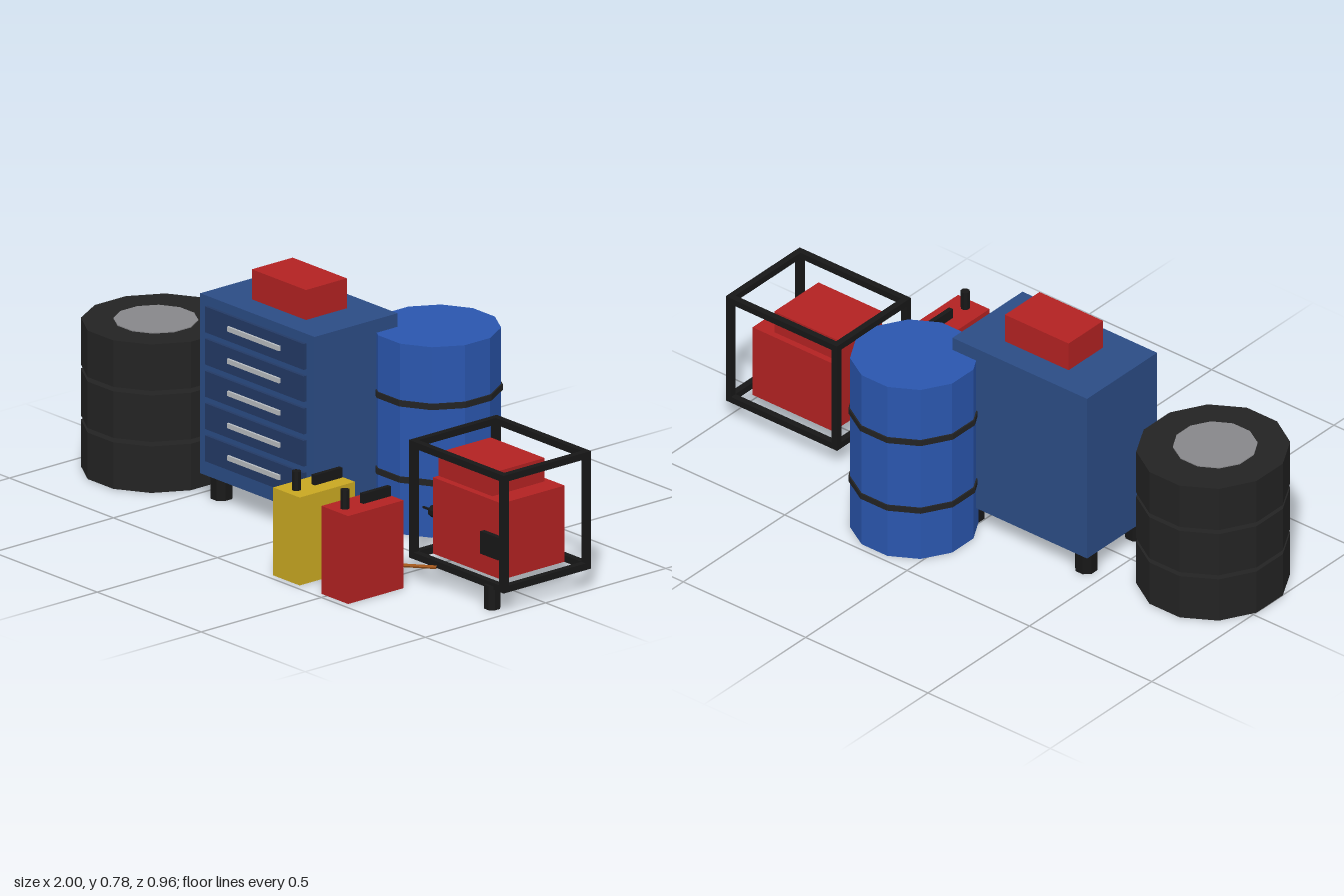
import * as THREE from 'three';

const mat = (name, color, flatShading = true) => {
  const m = new THREE.MeshStandardMaterial({ color, flatShading });
  m.name = name;
  return m;
};

export function createModel() {
  const root = new THREE.Group();
  root.name = 'garageEquipment';
  const red = mat('red paint', 0xb22222);
  const blue = mat('cabinet blue', 0x2b4c85);
  const navy = mat('drawer navy', 0x233a66);
  const barrelBlue = mat('barrel blue', 0x2a56ae);
  const yellow = mat('yellow paint', 0xc9a822);
  const black = mat('black metal', 0x171717);
  const rubber = mat('tire rubber', 0x232323);
  const grey = mat('hub grey', 0x87878a);
  const silver = mat('handle silver', 0xb8bcc0);
  const orange = mat('cable orange', 0xa85a1c);

  const group = (name) => {
    const g = new THREE.Group();
    g.name = name;
    root.add(g);
    return g;
  };
  const add = (parent, name, geo, material, x, y, z) => {
    const m = new THREE.Mesh(geo, material);
    m.name = name;
    m.position.set(x, y, z);
    parent.add(m);
    return m;
  };
  // box given by its lower and upper limits on each axis
  const box = (parent, name, material, [x0, x1], [y0, y1], [z0, z1]) =>
    add(parent, name, new THREE.BoxGeometry(x1 - x0, y1 - y0, z1 - z0), material,
      (x0 + x1) / 2, (y0 + y1) / 2, (z0 + z1) / 2);
  // upright prism with flat sides facing the axes
  const drum = (parent, name, material, r, y0, y1, x, z, sides = 12) =>
    add(parent, name, new THREE.CylinderGeometry(r, r, y1 - y0, sides).rotateY(Math.PI / sides),
      material, x, (y0 + y1) / 2, z);

  // stack of tires with a hub disc on top
  const tires = group('tireStack');
  for (let i = 0; i < 3; i++) {
    const y = i * 0.17;
    drum(tires, 'tire', rubber, 0.239, y, y + 0.155, -0.77, 0.08).scale.z = 1.04;
    if (i < 2) drum(tires, 'tireSpacer', rubber, 0.17, y + 0.155, y + 0.17, -0.77, 0.08);
  }
  drum(tires, 'hub', grey, 0.134, 0.49, 0.498, -0.77, 0.09);

  // tool cabinet with five drawers
  const cabinet = group('toolCabinet');
  box(cabinet, 'cabinetBody', blue, [-0.47, 0.08], [0.08, 0.68], [-0.18, 0.165]);
  for (let i = 0; i < 5; i++) {
    const y = 0.605 - i * 0.1075;
    box(cabinet, 'drawer', navy, [-0.435, 0.04], [y - 0.043, y + 0.043], [0.16, 0.176]);
    box(cabinet, 'drawerHandle', silver, [-0.32, -0.07], [y - 0.008, y + 0.008], [0.172, 0.184]);
  }
  for (const x of [-0.425, 0.037])
    for (const z of [-0.13, 0.115]) drum(cabinet, 'cabinetFoot', black, 0.037, 0, 0.08, x, z, 8);
  box(cabinet, 'toolBox', red, [-0.32, -0.06], [0.68, 0.78], [-0.09, 0.08]);

  // barrel with two hoops
  const barrel = group('barrel');
  drum(barrel, 'barrelBody', barrelBlue, 0.204, 0, 0.635, 0.154, -0.278);
  for (const y of [0.183, 0.437]) drum(barrel, 'barrelHoop', rubber, 0.209, y - 0.01, y + 0.01, 0.154, -0.278);

  // fuel cans
  for (const [name, material, x] of [['yellowCan', yellow, 0.305], ['redCan', red, 0.538]]) {
    const can = group(name);
    box(can, 'canBody', material, [x - 0.064, x + 0.064], [0, 0.293], [0.247, 0.477]);
    box(can, 'canHandle', black, [x - 0.008, x + 0.008], [0.293, 0.326], [0.25, 0.365]);
    drum(can, 'canSpout', black, 0.015, 0.293, 0.356, x, 0.435, 8);
  }

  // generator in a tubular frame
  const generator = group('generator');
  box(generator, 'generatorBody', red, [0.603, 0.933], [0.088, 0.342], [-0.137, 0.125]);
  box(generator, 'fuelTank', red, [0.603, 0.862], [0.342, 0.42], [-0.115, 0.102]);
  box(generator, 'controlPanel', black, [0.85, 0.935], [0.157, 0.232], [0.12, 0.142]);
  const exhaust = drum(generator, 'exhaust', black, 0.02, -0.035, 0.035, 0.57, 0.068, 8);
  exhaust.position.y = 0.2;
  exhaust.rotation.z = Math.PI / 2;
  box(generator, 'exhaustPin', black, [0.49, 0.54], [0.197, 0.203], [0.065, 0.071]);
  drum(generator, 'generatorFoot', black, 0.027, 0, 0.08, 0.925, 0.157, 8);

  const r = 0.011;
  const X = [0.552, 0.985], Y = [0.08, 0.45], Z = [-0.182, 0.16];
  const around = (v) => [v - r, v + r];
  const full = ([a, b]) => [a - r, b + r];
  for (let i = 0; i < 2; i++)
    for (let j = 0; j < 2; j++) {
      box(generator, 'frameRailX', black, full(X), around(Y[i]), around(Z[j]));
      box(generator, 'framePost', black, around(X[i]), full(Y), around(Z[j]));
      box(generator, 'frameRailZ', black, around(X[i]), around(Y[j]), full(Z));
    }

  // power cable from cabinet to generator
  const points = [[0.05, 0.012, 0.09], [0.32, 0.012, 0.245], [0.69, 0.078, 0.182]]
    .map((p) => new THREE.Vector3(...p));
  for (let i = 0; i < 2; i++)
    add(root, 'cable', new THREE.TubeGeometry(new THREE.LineCurve3(points[i], points[i + 1]), 1, 0.006, 6),
      orange, 0, 0, 0);

  return root;
}
